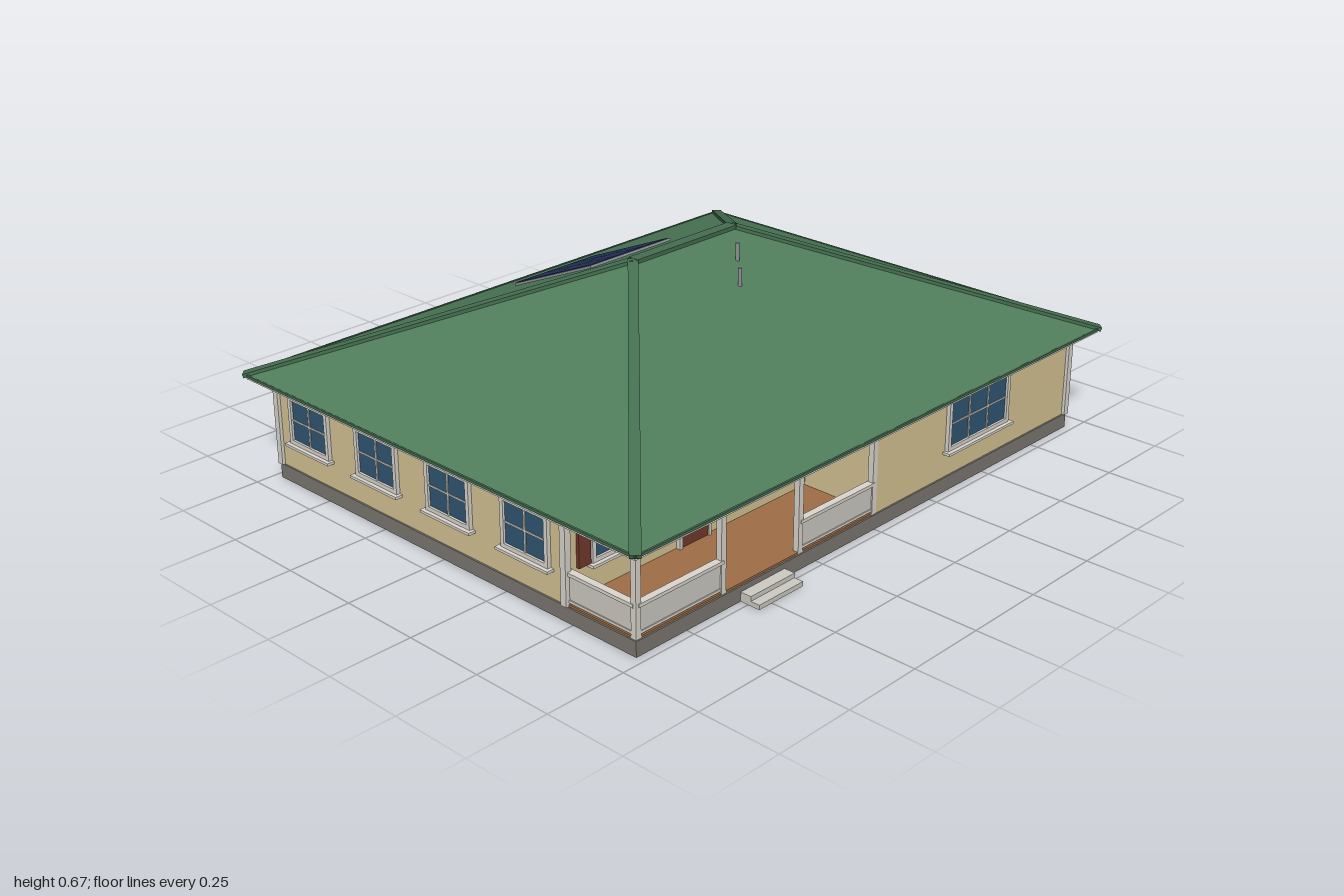
import * as THREE from 'three';

const mat = (color, extra = {}) => new THREE.MeshStandardMaterial({ color, ...extra });
const M = {
  roof: mat(0x4f7d5b, { flatShading: true }), cap: mat(0x456e50), wall: mat(0xd6c594),
  trim: mat(0xdcd8d0), base: mat(0x7d7972), glass: mat(0x2f5673), wood: mat(0x74392c),
  deck: mat(0xa06f47), solar: mat(0x25335a), metal: mat(0x8c9296), rail: mat(0xcfccc4),
};
const HX = 0.925, HZ = 0.72, BASE = 0.045, EAVE = 0.325, RIDGE = 0.66;
const PORCH_Z = 0.472; // face of the wall behind the porch

function add(parent, name, geometry, material, x = 0, y = 0, z = 0) {
  const mesh = new THREE.Mesh(geometry, material);
  mesh.name = name;
  mesh.position.set(x, y, z);
  parent.add(mesh);
  return mesh;
}
const box = (parent, name, material, w, h, d, x, y, z) =>
  add(parent, name, new THREE.BoxGeometry(w, h, d), material, x, y, z);

function group(parent, name) {
  const g = new THREE.Group();
  g.name = name;
  parent.add(g);
  return g;
}

// Bar running between two points
function bar(parent, name, material, a, b, w, h) {
  const mesh = box(parent, name, material, w, h, a.distanceTo(b), 0, 0, 0);
  mesh.position.copy(a).add(b).multiplyScalar(0.5);
  mesh.lookAt(b);
}

// Framed window facing +z, turned by angle
function windowUnit(parent, x, y, z, angle, w, h, cols) {
  const g = group(parent, 'window');
  const t = 0.013;
  box(g, 'glass', M.glass, w - t, h - t, 0.006, 0, 0, 0.002);
  for (const s of [-1, 1]) {
    box(g, 'frameSide', M.trim, t, h, 0.018, s * (w - t) / 2, 0, 0.003);
    box(g, 'frameRail', M.trim, w - 2 * t, t, 0.018, 0, s * (h - t) / 2, 0.003);
  }
  for (let i = 1; i < cols; i++)
    box(g, 'mullion', M.trim, 0.006, h - 2 * t, 0.01, -w / 2 + t + (w - 2 * t) * i / cols, 0, 0.003);
  box(g, 'crossbar', M.trim, w - 2 * t, 0.005, 0.009, 0, 0, 0.003);
  box(g, 'sill', M.trim, w + 0.02, 0.008, 0.03, 0, -h / 2 - 0.003, 0.009);
  g.position.set(x, y, z);
  g.rotation.y = angle;
}

function buildBody(house) {
  box(house, 'foundation', M.base, 2 * HX + 0.01, BASE, 2 * HZ + 0.01, 0, BASE / 2, 0);
  // L-shaped walls leave the front corner open for the porch
  const plan = new THREE.Shape([
    [-HX, HZ], [-HX, -PORCH_Z], [0, -PORCH_Z], [0, -HZ], [HX, -HZ], [HX, HZ],
  ].map(([x, y]) => new THREE.Vector2(x, y)));
  const walls = new THREE.ExtrudeGeometry(plan, { depth: 0.31 - BASE, bevelEnabled: false });
  walls.rotateX(-Math.PI / 2);
  add(house, 'walls', walls, M.wall, 0, BASE, 0);

  const corners = [[HX, HZ], [HX, -HZ], [-HX, -HZ], [-HX, PORCH_Z], [HX, PORCH_Z]];
  for (const [x, z] of corners)
    box(house, 'cornerBoard', M.trim, 0.02, 0.265, 0.02, x, BASE + 0.1325, z);
  // Trim under the eaves
  for (const s of [-1, 1]) {
    box(house, 'frieze', M.trim, 2 * HX + 0.014, 0.02, 0.014, 0, 0.302, s * HZ);
    box(house, 'frieze', M.trim, 0.014, 0.02, 2 * HZ, s * HX, 0.302, 0);
  }

  // Windows of the two sides, back and front
  for (const s of [-1, 1])
    for (let i = 0; i < 4; i++)
      windowUnit(house, s * HX, 0.207, 0.33 - 0.3 * i, s * Math.PI / 2, 0.178, 0.15, 2);
  for (let i = -2; i <= 2; i++)
    windowUnit(house, i * 0.368, 0.207, -HZ, Math.PI, 0.178, 0.15, 2);
  windowUnit(house, 0.465, 0.207, HZ, 0, 0.292, 0.162, 3);
}

function buildPorch(house) {
  const porch = group(house, 'porch');
  const front = HZ - 0.008, side = -HX + 0.008;
  const postX = [side, -0.61, -0.31, 0];
  box(porch, 'deck', M.deck, HX, 0.006, HZ - PORCH_Z, -HX / 2, BASE + 0.003, (HZ + PORCH_Z) / 2);
  for (const x of postX)
    box(porch, 'post', M.trim, 0.018, 0.265, 0.018, x, BASE + 0.1325, front);
  box(porch, 'beam', M.trim, HX, 0.022, 0.022, -HX / 2, 0.302, front);
  box(porch, 'beam', M.trim, 0.022, 0.022, HZ - PORCH_Z, side, 0.302, (HZ + PORCH_Z) / 2);

  // Solid railings: two front bays and the open side
  const railing = (x, z, length, angle) => {
    const g = group(porch, 'railing');
    box(g, 'railPanel', M.rail, length, 0.07, 0.01, 0, 0.098, 0);
    box(g, 'topRail', M.trim, length, 0.01, 0.022, 0, 0.138, 0);
    box(g, 'bottomRail', M.trim, length, 0.008, 0.016, 0, 0.06, 0);
    g.position.set(x, 0, z);
    g.rotation.y = angle;
  };
  railing((postX[0] + postX[1]) / 2, front, postX[1] - postX[0], 0);
  railing((postX[2] + postX[3]) / 2, front, postX[3] - postX[2], 0);
  railing(side, (front + PORCH_Z) / 2, front - PORCH_Z, Math.PI / 2);

  // Windows, shutters and door on the recessed wall
  windowUnit(porch, -0.755, 0.207, PORCH_Z, 0, 0.172, 0.145, 2);
  windowUnit(porch, -0.18, 0.207, PORCH_Z, 0, 0.168, 0.145, 2);
  for (const s of [-1, 1])
    box(porch, 'shutter', M.wood, 0.042, 0.14, 0.012, -0.755 + s * 0.111, 0.207, PORCH_Z + 0.004);
  const doorX = -0.463;
  box(porch, 'door', M.wood, 0.102, 0.21, 0.014, doorX, 0.158, PORCH_Z + 0.004);
  for (const s of [-1, 1])
    box(porch, 'doorJamb', M.trim, 0.01, 0.225, 0.02, doorX + s * 0.056, 0.16, PORCH_Z + 0.004);
  box(porch, 'doorHead', M.trim, 0.122, 0.01, 0.02, doorX, 0.268, PORCH_Z + 0.004);
  add(porch, 'doorKnob', new THREE.SphereGeometry(0.006, 12, 8), M.metal, doorX + 0.037, 0.15, PORCH_Z + 0.015);

  box(porch, 'upperStep', M.rail, 0.172, 0.028, 0.036, doorX, 0.014, 0.742);
  box(porch, 'lowerStep', M.rail, 0.172, 0.014, 0.03, doorX, 0.007, 0.774);
}

function buildRoof(house) {
  const roof = group(house, 'roof');
  const rx = 0.99, rz = 0.785, top = 0.205;
  box(roof, 'soffit', M.trim, 2 * rx - 0.01, 0.012, 2 * rz - 0.01, 0, 0.317, 0);

  // Hip roof: four eave corners and two ridge ends
  const P = [[-rx, EAVE, rz], [rx, EAVE, rz], [rx, EAVE, -rz], [-rx, EAVE, -rz],
    [-top, RIDGE, 0], [top, RIDGE, 0]].map(p => new THREE.Vector3(...p));
  const faces = [0, 1, 5, 0, 5, 4, 1, 2, 5, 2, 3, 4, 2, 4, 5, 3, 0, 4, 0, 3, 2, 0, 2, 1];
  const hip = new THREE.BufferGeometry().setFromPoints(faces.map(i => P[i]));
  hip.computeVertexNormals();
  add(roof, 'hipRoof', hip, M.roof);

  // Caps over ridge and hips
  bar(roof, 'ridgeCap', M.cap, P[4], P[5], 0.036, 0.012);
  for (const [a, b] of [[0, 4], [1, 5], [2, 5], [3, 4]])
    bar(roof, 'hipCap', M.cap, P[a], P[b], 0.03, 0.012);
  // Edge strips along the eaves
  for (let i = 0; i < 4; i++)
    bar(roof, 'eaveEdge', M.cap, P[i], P[(i + 1) % 4], 0.006, 0.008);

  for (const [x, z, y] of [[0.022, 0.198, 0.59], [0.1, 0.117, 0.625]])
    add(roof, 'ventPipe', new THREE.CylinderGeometry(0.006, 0.006, 0.075, 12), M.metal, x, y, z);

  // Solar array lying on the back slope
  const slope = Math.atan2(RIDGE - EAVE, rz), z = -0.377;
  const solar = group(roof, 'solarArray');
  box(solar, 'solarFrame', M.metal, 0.332, 0.008, 0.36, 0, 0.006, 0);
  for (let i = -1; i <= 1; i++)
    for (const s of [-1, 1])
      box(solar, 'solarPanel', M.solar, 0.104, 0.008, 0.174, i * 0.109, 0.008, s * 0.0885);
  solar.position.set(0, RIDGE + z * Math.tan(slope), z);
  solar.rotation.x = -slope;
}

function buildCooler(house) {
  const unit = group(house, 'coolingUnit');
  box(unit, 'casing', M.metal, 0.08, 0.072, 0.042, 0, 0.047, 0);
  for (const s of [-1, 1]) box(unit, 'foot', M.base, 0.012, 0.011, 0.04, s * 0.028, 0.0055, 0);
  const fan = add(unit, 'fanRing', new THREE.TorusGeometry(0.024, 0.003, 6, 20), M.base, 0, 0.048, -0.021);
  fan.rotation.y = Math.PI;
  unit.position.set(-0.775, 0, -0.758);
}

export function createModel() {
  const house = new THREE.Group();
  house.name = 'house';
  buildBody(house);
  buildPorch(house);
  buildRoof(house);
  buildCooler(house);
  return house;
}
